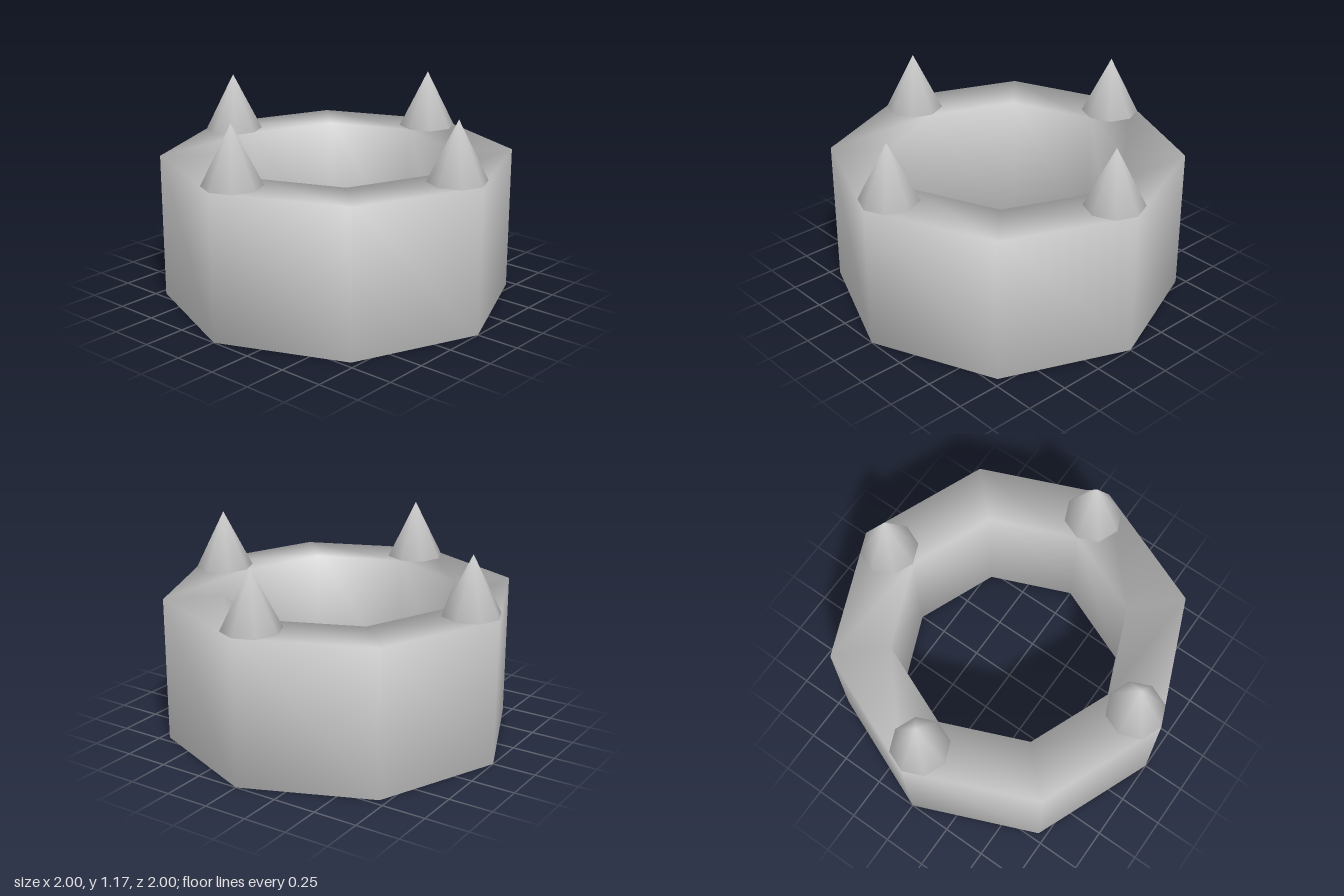
import * as THREE from 'three';
import { mergeVertices } from 'three/addons/utils/BufferGeometryUtils.js';

const SIDES = 8;
const OUTER = 1, INNER = 0.667, HEIGHT = 0.833;
const SPIKE_RADIUS = (OUTER - INNER) / 2, SPIKE_HEIGHT = 0.333;

// Weld all corners so shading runs smoothly across every edge
function weld(geometry) {
  geometry.deleteAttribute('uv');
  geometry.deleteAttribute('normal');
  const welded = mergeVertices(geometry, 1e-4);
  welded.computeVertexNormals();
  return welded;
}

export function createModel() {
  const model = new THREE.Group();
  model.name = 'spikedRing';
  const material = new THREE.MeshStandardMaterial({ color: 0xcccccc });

  // Octagonal band with a rectangular section
  const section = [
    [INNER, 0], [OUTER, 0], [OUTER, HEIGHT], [INNER, HEIGHT], [INNER, 0],
  ].map(([r, y]) => new THREE.Vector2(r, y));
  const band = new THREE.Mesh(weld(new THREE.LatheGeometry(section, SIDES)), material);
  band.name = 'band';
  model.add(band);

  // Four spikes standing on alternate corners of the band
  const spikeGeometry = weld(new THREE.ConeGeometry(SPIKE_RADIUS, SPIKE_HEIGHT, SIDES));
  const middle = (OUTER + INNER) / 2;
  ['front', 'left', 'back', 'right'].forEach((side, i) => {
    const angle = (i * Math.PI) / 2;
    const spike = new THREE.Mesh(spikeGeometry, material);
    spike.name = side + 'Spike';
    spike.position.set(
      Math.sin(angle) * middle, HEIGHT + SPIKE_HEIGHT / 2, Math.cos(angle) * middle);
    model.add(spike);
  });

  return model;
}
